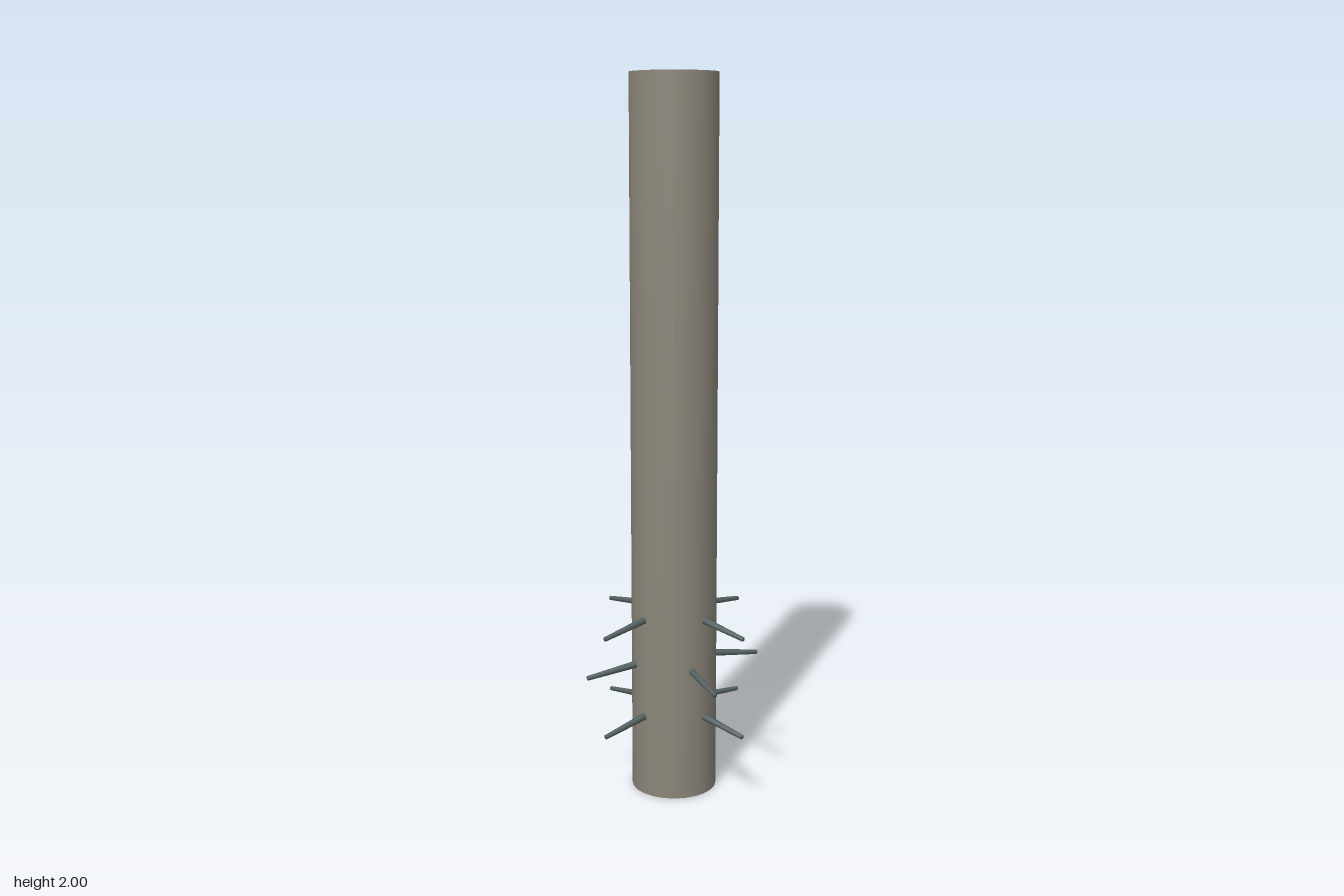
import * as THREE from 'three';

const bodyMat = new THREE.MeshStandardMaterial({ name: 'warm grey casing', color: 0x8c877b });
const metalMat = new THREE.MeshStandardMaterial({ name: 'dark slate metal', color: 0x566262 });

// Softly shaded solid of revolution from [radius, height] pairs, listed bottom to top
function turned(name, profile, sides, material) {
  const points = profile.map(([r, y]) => new THREE.Vector2(r, y));
  const mesh = new THREE.Mesh(new THREE.LatheGeometry(points, sides), material);
  mesh.name = name;
  return mesh;
}

export function createModel() {
  const model = new THREE.Group();
  model.name = 'spikedTube';

  // Outer casing and the core that shows at both ends
  model.add(turned('casing', [[0.07, 0.001], [0.12, 0.001], [0.12, 1.999], [0.07, 1.999]], 24, bodyMat));
  model.add(turned('core', [[0, 0], [0.07, 0], [0.07, 2], [0, 2]], 24, metalMat));

  // Three rings of four tapered spikes drooping outward; the middle ring is turned
  const up = new THREE.Vector3(0, 1, 0);
  const rings = [
    { name: 'lowerSpike', y: 0.213, turn: 45 },
    { name: 'middleSpike', y: 0.355, turn: 65.4 },
    { name: 'upperSpike', y: 0.495, turn: 45 },
  ];
  for (const ring of rings) {
    for (let i = 0; i < 4; i++) {
      const a = THREE.MathUtils.degToRad(ring.turn + i * 90);
      const at = (r, y) => new THREE.Vector3(r * Math.cos(a), y, r * Math.sin(a));
      const base = at(0.1, ring.y + 0.022);
      const span = at(0.265, ring.y).sub(base);
      const len = span.length();
      const spike = turned(ring.name, [[0, 0], [0.0105, 0], [0.0065, len], [0, len]], 8, metalMat);
      spike.position.copy(base);
      spike.quaternion.setFromUnitVectors(up, span.normalize());
      model.add(spike);
    }
  }
  return model;
}
